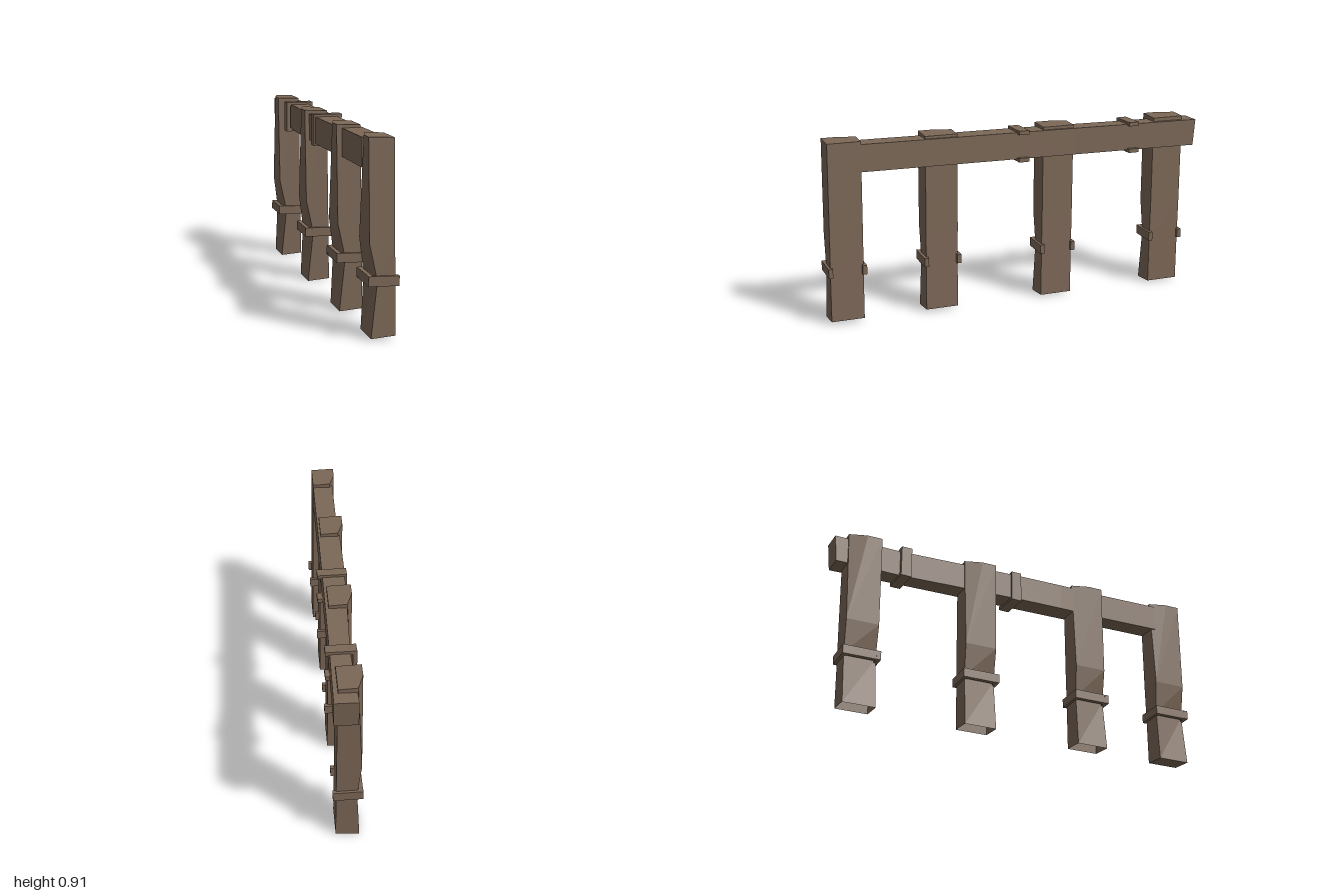
import * as THREE from 'three';

const wood = new THREE.MeshStandardMaterial({ color: 0x7b6756, side: THREE.DoubleSide });
wood.name = 'weathered wood';

// Flat-shaded skin through cross-sections with equal point counts.
function loft(rings, capStart, capEnd) {
  const pos = [];
  const tri = (a, b, c) => {
    const [A, B, C] = [a, b, c].map((p) => new THREE.Vector3(...p));
    if (B.clone().sub(A).cross(C.clone().sub(A)).length() > 1e-9) pos.push(...a, ...b, ...c);
  };
  const n = rings[0].length;
  for (let k = 0; k + 1 < rings.length; k++) {
    const a = rings[k], b = rings[k + 1];
    for (let i = 0; i < n; i++) {
      const j = (i + 1) % n;
      tri(a[i], a[j], b[j]);
      tri(a[i], b[j], b[i]);
    }
  }
  const first = rings[0], last = rings[rings.length - 1];
  for (let i = 1; i + 1 < n; i++) {
    if (capStart) tri(first[0], first[i + 1], first[i]);
    if (capEnd) tri(last[0], last[i], last[i + 1]);
  }
  const g = new THREE.BufferGeometry();
  g.setAttribute('position', new THREE.Float32BufferAttribute(pos, 3));
  g.computeVertexNormals();
  return g;
}

function add(parent, geometry, name) {
  const m = new THREE.Mesh(geometry, wood);
  m.name = name;
  parent.add(m);
  return m;
}

function plank(parent, name, w, h, d, x, y, z) {
  const m = add(parent, new THREE.BoxGeometry(w, h, d), name);
  m.position.set(x, y, z);
  return m;
}

// Post with a hewn waist on its -x side and a chamfered top back corner.
function makePost(closedBottom) {
  // [y at +x, y at -x, right x, left x front, left x back, z lean]
  const levels = [
    [0.008, 0, 0.058, -0.055, -0.055, 0.006],
    [0.262, 0.262, 0.056, -0.026, -0.042, 0.003],
    [0.43, 0.43, 0.055, -0.062, -0.062, 0],
    [0.898, 0.903, 0.05, -0.068, -0.04, -0.006],
  ];
  const h = 0.083;
  const rings = levels.map(([yr, yl, xr, xf, xb, lean], k) => {
    const top = k === 3;
    return [
      [xr, yr, lean + h],
      [xr, yr, lean - h],
      [xb, yl, lean - h],
      [top ? xf : xb, yl, lean - h + (top ? 0.09 : 0)],
      [xf, yl, lean + h],
    ];
  });
  return loft(rings, closedBottom, true);
}

export function createModel() {
  const root = new THREE.Group();
  root.name = 'timberFrame';

  // Posts, each with a three-sided strap round the waist
  const posts = [
    [0.9, 0.012, 0],
    [0.409, 0.007, -0.011],
    [-0.216, 0.003, -0.011],
    [-0.842, 0.002, -0.011],
  ];
  posts.forEach(([z, y, x], i) => {
    const g = new THREE.Group();
    g.name = 'post' + (i + 1);
    g.position.set(x, y, z);
    add(g, makePost(i === 0), 'postTimber');
    const strap = new THREE.Group();
    strap.name = 'postStrap';
    strap.position.set(0, 0.263, 0.002);
    strap.rotation.z = -0.03;
    for (const s of [1, -1])
      plank(strap, s > 0 ? 'frontStrap' : 'backStrap', 0.143, 0.046, 0.022, 0.001, 0, s * 0.085);
    plank(strap, 'sideStrap', 0.022, 0.046, 0.186, -0.059, 0, 0);
    g.add(strap);
    root.add(g);
  });

  // Long beam with an uneven hewn side: [z, -x side, +x side]
  const stations = [
    [0.83, -0.055, 0.049], [0.5, -0.052, 0.05], [0.25, -0.06, 0.051],
    [0, -0.06, 0.052], [-0.3, -0.05, 0.054], [-0.65, -0.038, 0.057], [-1, -0.05, 0.062],
  ];
  const beam = stations.map(([z, xl, xr], i) => {
    const yb = 0.752 + z * 0.008, yt = 0.888 + z * 0.008;
    const zb = i === stations.length - 1 ? z + 0.012 : z;
    return [[xr, yb, zb], [xl, yb, zb], [xl, yt, z], [xr, yt, z]];
  });
  add(root, loft(beam, true, true), 'beam');

  // Three-sided straps round the beam
  for (const [z, y] of [[-0.018, 0.82], [-0.63, 0.816]]) {
    const strap = new THREE.Group();
    strap.name = 'beamStrap';
    strap.position.set(0, y, z);
    strap.rotation.y = 0.03;
    for (const s of [1, -1])
      plank(strap, s > 0 ? 'topStrap' : 'bottomStrap', 0.142, 0.02, 0.055, 0.007, s * 0.07, 0);
    plank(strap, 'sideStrap', 0.02, 0.16, 0.055, -0.058, 0, 0);
    root.add(strap);
  }
  return root;
}
